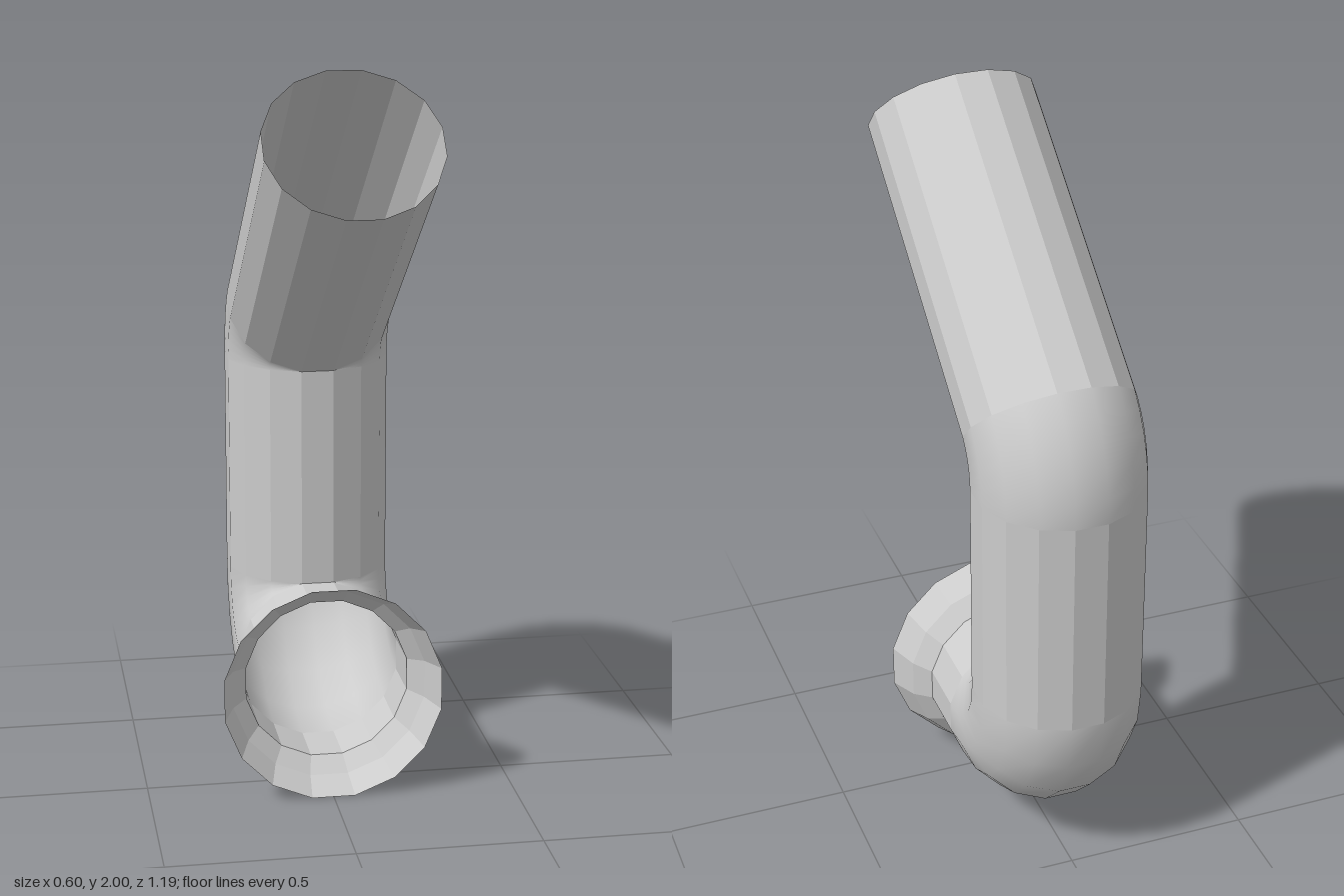
import * as THREE from 'three';

const SIDES = 16;
const FLAT = 0.224;                               // distance from axis to a flat
const RADIUS = FLAT / Math.cos(Math.PI / SIDES);  // distance from axis to a corner
const INNER_Z = -0.147;                           // inside line of the upright pipe
const LOW = 0.525, HIGH = 1.135;                  // heights of the two bend pivots

// A cross-section that touches the point (y, z) and is turned by `deg` in the side plane
const ring = (y, z, deg, radius = RADIUS) => ({ y, z, t: THREE.MathUtils.degToRad(deg), radius });

// Skin a row of cross-sections; bends get smooth radial normals, straights stay faceted
function loft(name, rings, smooth) {
  const pos = [], nor = [], idx = [];
  for (const { y, z, t, radius } of rings) {
    const dy = -Math.cos(t), dz = -Math.sin(t);
    for (let j = 0; j < SIDES; j++) {
      const a = ((j + 0.5) / SIDES) * Math.PI * 2;
      const c = Math.cos(a), s = Math.sin(a);
      const out = FLAT + radius * s;
      pos.push(radius * c, y + dy * out, z + dz * out);
      nor.push(c, dy * s, dz * s);
    }
  }
  for (let i = 0; i < rings.length - 1; i++) {
    for (let j = 0; j < SIDES; j++) {
      const k = (j + 1) % SIDES;
      const a = i * SIDES + j, b = i * SIDES + k, c = b + SIDES, d = a + SIDES;
      idx.push(a, b, c, a, c, d);
    }
  }
  const geo = new THREE.BufferGeometry();
  geo.setAttribute('position', new THREE.Float32BufferAttribute(pos, 3));
  geo.setAttribute('normal', new THREE.Float32BufferAttribute(nor, 3));
  geo.setIndex(idx);
  const mesh = new THREE.Mesh(geo, new THREE.MeshStandardMaterial({
    color: 0xcccccc, side: THREE.DoubleSide, flatShading: !smooth,
  }));
  mesh.name = name;
  return mesh;
}

// Cross-sections swung around one pivot
function bend(y, from, to, steps) {
  return Array.from({ length: steps + 1 }, (_, i) =>
    ring(y, INNER_Z, from + ((to - from) * i) / steps));
}

export function createModel() {
  const group = new THREE.Group();
  group.name = 'bentPipe';
  const grow = (flat) => flat / Math.cos(Math.PI / SIDES);

  group.add(
    // flared open mouth at the bottom front
    loft('flaredMouth', [
      ring(LOW, 0.137, 0, grow(0.298)),
      ring(LOW, 0.057, 0, grow(0.265)),
      ring(LOW, 0.012, 0),
    ], false),
    loft('lowerPipe', [ring(LOW, 0.012, 0), ring(LOW, INNER_Z, 0)], false),
    loft('lowerElbow', bend(LOW, 0, 90, 5), true),
    loft('uprightPipe', [ring(LOW, INNER_Z, 90), ring(HIGH, INNER_Z, 90)], false),
    loft('upperElbow', bend(HIGH, 90, 135, 5), true),
    // leaning pipe with an open end cut at 45 degrees
    loft('upperPipe', [ring(HIGH, INNER_Z, 135), ring(1.685, 0.592, 135)], false),
  );
  return group;
}
